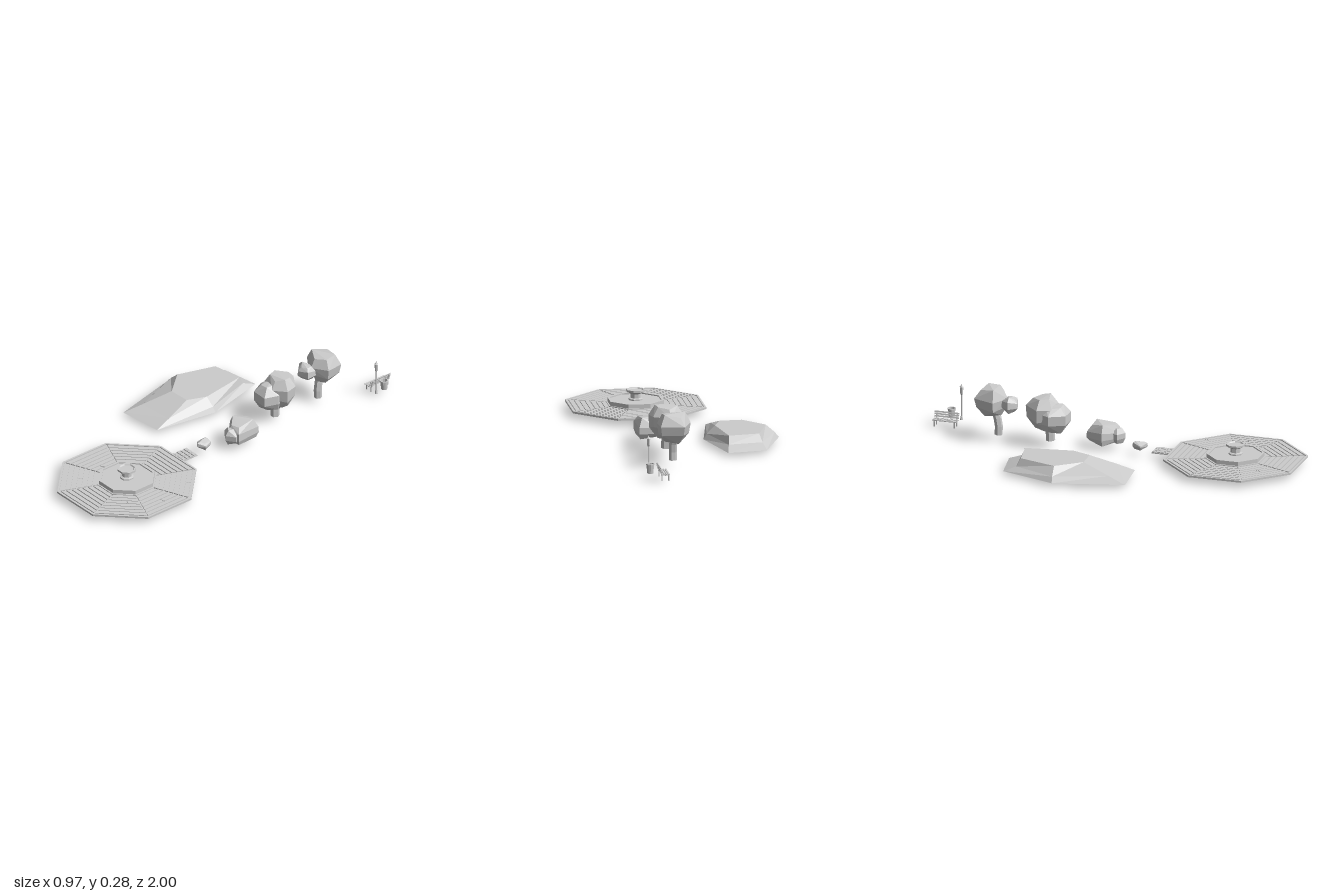
import * as THREE from 'three';
import { ConvexGeometry } from 'three/addons/geometries/ConvexGeometry.js';

const mat = new THREE.MeshStandardMaterial({ color: 0xcccccc, flatShading: true });
const T = Math.tan(Math.PI / 8);

function add(parent, name, geo, x = 0, y = 0, z = 0) {
  const m = new THREE.Mesh(geo, mat);
  m.name = name;
  m.position.set(x, y, z);
  parent.add(m);
  return m;
}
function group(parent, name, x = 0, y = 0, z = 0) {
  const g = new THREE.Group();
  g.name = name;
  g.position.set(x, y, z);
  parent.add(g);
  return g;
}
// Octagonal lathe; profile is [apothem, y], with flat sides facing the axes
function octagon(profile) {
  const k = 1 / Math.cos(Math.PI / 8);
  return new THREE.LatheGeometry(profile.map(([a, y]) => new THREE.Vector2(a * k, y)), 8, Math.PI / 8);
}
// Faceted lump: an [x, z] outline shrunk about [cx, cz] at each [y, scale, dx, dz] level
function lump(outline, cx, cz, levels) {
  const pts = [];
  for (const [y, s, dx = 0, dz = 0] of levels)
    outline.forEach(([x, z], i) => pts.push(new THREE.Vector3(
      cx + (x - cx) * s + dx, y + (s < 1 ? 0.008 * Math.sin(i * 2.3 + y * 40) : 0), cz + (z - cz) * s + dz)));
  return new ConvexGeometry(pts);
}
function fivesided(cx, cz, rx, rz, turn) {
  return [0, 1, 2, 3, 4].map(i => {
    const a = turn + i * Math.PI * 0.4;
    return [cx + rx * Math.cos(a), cz + rz * Math.sin(a)];
  });
}
// Flat slab from a polygon in plan, extruded upwards
function slab(points, height) {
  const shape = new THREE.Shape(points.map(([x, z]) => new THREE.Vector2(x, -z)));
  return new THREE.ExtrudeGeometry(shape, { depth: height, bevelEnabled: false }).rotateX(-Math.PI / 2);
}
// Bent trunk through [x, y, z] points
function trunk(points, r) {
  const curve = new THREE.CatmullRomCurve3(points.map(p => new THREE.Vector3(...p)));
  return new THREE.TubeGeometry(curve, 3, r, 6);
}

function plaza(root) {
  const g = group(root, 'plaza', 0.14, 0, 0.655);
  add(g, 'plazaBase', octagon([[0.1, 0.03], [0.344, 0.03], [0.344, 0.035], [0.1, 0.035]]));
  add(g, 'plazaKerb', octagon([[0.334, 0.034], [0.344, 0.034], [0.344, 0.04], [0.334, 0.04], [0.334, 0.034]]));
  // Rows of paving in each of the eight sectors, a few stones cracked
  const inner = 0.146, rows = 7, step = (0.332 - inner) / rows;
  for (let k = 0; k < 8; k++) {
    const sector = group(g, 'pavingSector');
    sector.rotation.y = k * Math.PI / 4;
    for (let r = 0; r < rows; r++) {
      const a = inner + r * step, b = a + step - 0.005;
      const wa = a * T - 0.004, wb = b * T - 0.004;
      if ((k * 5 + r * 3) % 11 === 0) {
        const c = wa * (0.3 - 0.1 * (k % 4));
        add(sector, 'crackedPaver', slab([[-wa, a], [c, a], [c + 0.01, b], [-wb, b]], 0.006), 0, 0.034);
        add(sector, 'crackedPaver', slab([[c + 0.004, a], [wa, a], [wb, b], [c + 0.014, b]], 0.006), 0, 0.034);
      } else {
        add(sector, 'paver', slab([[-wa, a], [wa, a], [wb, b], [-wb, b]], 0.006), 0, 0.034);
      }
    }
  }
  // Fountain
  const f = group(g, 'fountain');
  add(f, 'fountainFooting', new THREE.CylinderGeometry(0.131, 0.131, 0.036, 24), 0, 0.018, 0);
  add(f, 'fountainStep', octagon([[0.1, 0.034], [0.146, 0.034], [0.146, 0.044], [0.1, 0.044]]));
  add(f, 'fountainBasin', octagon([[0, 0.036], [0.138, 0.036], [0.138, 0.065], [0.126, 0.065], [0.126, 0.059], [0, 0.059]]));
  add(f, 'fountainPedestal', octagon([[0.034, 0.058], [0.034, 0.066], [0.024, 0.07], [0.024, 0.092], [0.03, 0.099]]));
  add(f, 'fountainBowl', octagon([[0, 0.092], [0.03, 0.096], [0.046, 0.104], [0.046, 0.114], [0.038, 0.114], [0.034, 0.108], [0, 0.108]]));
}

function path(root) {
  const g = group(root, 'path', 0.135, 0, 0.265);
  add(g, 'pathBase', new THREE.BoxGeometry(0.086, 0.005, 0.094), 0, 0.0325, 0);
  for (let i = 0; i < 3; i++)
    for (let j = 0; j < 4; j++)
      add(g, 'pathStone', new THREE.BoxGeometry(0.023, 0.006, 0.018),
        (i - 1) * 0.028 + (j % 2 - 0.5) * 0.004, 0.037, (j - 1.5) * 0.023);
}

function hill(root) {
  // Three contour rings joined by sloping faces
  const rings = [
    [0.02, [[-0.38, -0.425], [-0.175, -0.46], [-0.095, -0.13], [-0.155, 0.21], [-0.395, 0.235], [-0.485, -0.13]]],
    [0.048, [[-0.366, -0.36], [-0.188, -0.388], [-0.112, -0.125], [-0.168, 0.12], [-0.36, 0.135], [-0.462, -0.135]]],
    [0.09, [[-0.352, -0.34], [-0.192, -0.368], [-0.155, -0.12], [-0.195, -0.02], [-0.31, -0.015], [-0.415, -0.14]]],
  ];
  const pos = [], idx = [];
  for (const [y, ring] of rings) for (const [x, z] of ring) pos.push(x, y, z);
  for (let r = 0; r < 2; r++)
    for (let i = 0; i < 6; i++) {
      const a = r * 6 + i, b = r * 6 + (i + 1) % 6;
      idx.push(a, a + 6, b, b, a + 6, b + 6);
    }
  for (let i = 1; i < 5; i++) idx.push(0, i, i + 1, 12, 12 + i + 1, 12 + i);
  const geo = new THREE.BufferGeometry();
  geo.setAttribute('position', new THREE.Float32BufferAttribute(pos, 3));
  geo.setIndex(idx);
  geo.computeVertexNormals();
  add(root, 'hill', geo);
}

function plants(root) {
  // Far tree
  const a = group(root, 'farTree');
  add(a, 'trunk', trunk([[0.135, 0.03, -0.618], [0.135, 0.09, -0.617], [0.132, 0.16, -0.635]], 0.021));
  add(a, 'mainCrown', lump([[0.09, -0.735], [0.21, -0.71], [0.218, -0.62], [0.14, -0.568], [0.043, -0.62]],
    0.14, -0.64, [[0.135, 0.5], [0.175, 0.9], [0.225, 1], [0.277, 0.68]]));
  add(a, 'sideCrown', lump(fivesided(0.122, -0.55, 0.056, 0.046, 0.6), 0.122, -0.55,
    [[0.168, 0.6], [0.19, 1], [0.222, 0.95], [0.24, 0.55]]));
  // Near tree
  const b = group(root, 'nearTree');
  add(b, 'trunk', trunk([[0.13, 0.03, -0.336], [0.13, 0.07, -0.338], [0.13, 0.13, -0.345]], 0.024));
  add(b, 'mainCrown', lump([[0.12, -0.467], [0.206, -0.41], [0.222, -0.345], [0.16, -0.29], [0.07, -0.31], [0.042, -0.385]],
    0.135, -0.37, [[0.095, 0.6, 0, 0.01], [0.15, 0.95], [0.21, 1], [0.257, 0.62]]));
  add(b, 'frontCrown', lump([[0.17, -0.38], [0.19, -0.31], [0.165, -0.238], [0.077, -0.24], [0.037, -0.32], [0.07, -0.385]],
    0.12, -0.31, [[0.093, 0.75, 0, -0.01], [0.135, 1], [0.185, 1], [0.222, 0.55]]));
  // Bushes
  const c = group(root, 'largeBush');
  add(c, 'mainLeaves', lump([[0.15, -0.15], [0.238, -0.14], [0.248, 0.0], [0.185, 0.02], [0.108, -0.055]],
    0.18, -0.06, [[0.035, 0.85], [0.06, 1], [0.095, 0.98], [0.132, 0.7]]));
  add(c, 'sideLeaves', lump(fivesided(0.195, 0.0, 0.048, 0.045, 0.3), 0.195, 0.0,
    [[0.037, 0.7], [0.06, 1], [0.088, 1], [0.11, 0.6]]));
  add(root, 'smallBush', lump(fivesided(0.136, 0.143, 0.037, 0.042, Math.PI / 2), 0.136, 0.143,
    [[0.037, 0.75], [0.05, 1], [0.064, 0.95], [0.07, 0.6]]));
}

function furniture(root) {
  // Bench facing -x
  const bench = group(root, 'bench', 0.23, 0, -0.934);
  for (let i = 0; i < 4; i++)
    add(bench, 'seatSlat', new THREE.BoxGeometry(0.008, 0.004, 0.132), -0.02 + i * 0.011, 0.042, 0);
  for (let i = 0; i < 3; i++)
    add(bench, 'backSlat', new THREE.BoxGeometry(0.004, 0.008, 0.132), 0.018 + i * 0.003, 0.053 + i * 0.011, 0)
      .rotation.z = -0.25;
  for (const s of [-1, 1]) {
    add(bench, 'frontLeg', new THREE.BoxGeometry(0.005, 0.032, 0.006), -0.019, 0.024, s * 0.054);
    add(bench, 'backLeg', new THREE.BoxGeometry(0.005, 0.032, 0.006), 0.016, 0.024, s * 0.054);
    add(bench, 'seatRail', new THREE.BoxGeometry(0.042, 0.004, 0.006), -0.002, 0.038, s * 0.054);
    add(bench, 'backPost', new THREE.BoxGeometry(0.004, 0.042, 0.006), 0.023, 0.058, s * 0.054).rotation.z = -0.25;
  }
  // Litter bin, open at the top
  const binProfile = [[0, 0.035], [0.016, 0.035], [0.02, 0.08], [0.023, 0.08], [0.023, 0.086], [0.017, 0.086], [0.013, 0.042], [0, 0.042]];
  add(root, 'litterBin', new THREE.LatheGeometry(binProfile.map(p => new THREE.Vector2(...p)), 10), 0.297, 0, -0.923);
  // Street lamp
  const lamp = group(root, 'streetLamp', 0.298, 0, -0.87);
  add(lamp, 'lampFoot', new THREE.CylinderGeometry(0.005, 0.008, 0.02, 8), 0, 0.038, 0);
  add(lamp, 'lampPost', new THREE.CylinderGeometry(0.0035, 0.0045, 0.14, 8), 0, 0.1, 0);
  add(lamp, 'lampCollar', new THREE.CylinderGeometry(0.008, 0.004, 0.006, 6), 0, 0.166, 0);
  add(lamp, 'lampLantern', new THREE.CylinderGeometry(0.0095, 0.008, 0.036, 6), 0, 0.187, 0);
  add(lamp, 'lampCap', new THREE.CylinderGeometry(0.002, 0.011, 0.01, 6), 0, 0.21, 0);
  add(lamp, 'lampFinial', new THREE.ConeGeometry(0.003, 0.01, 6), 0, 0.22, 0);
}

export function createModel() {
  const root = new THREE.Group();
  root.name = 'parkScene';
  plaza(root);
  path(root);
  hill(root);
  plants(root);
  furniture(root);
  return root;
}
